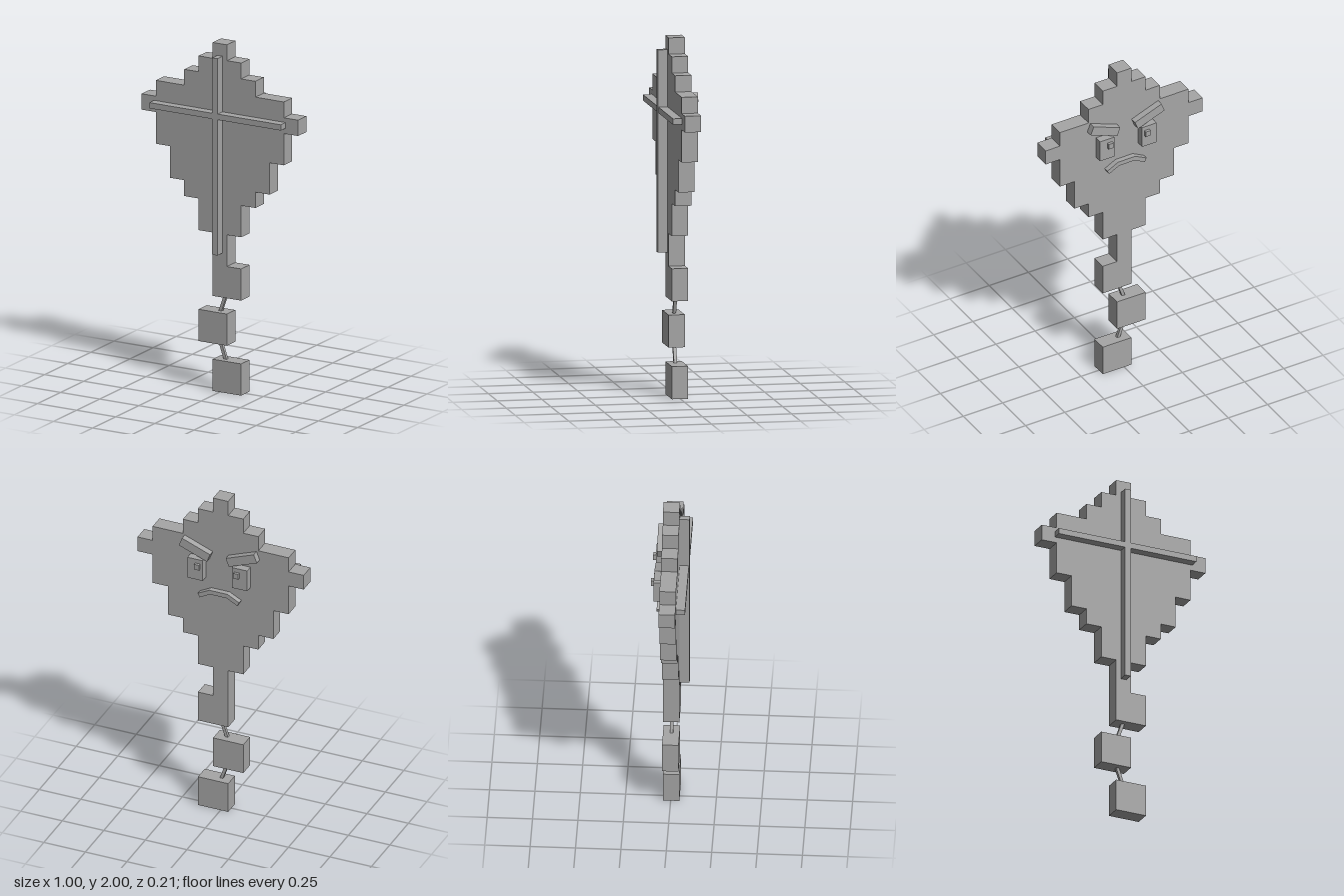
import * as THREE from 'three';

const U = 1 / 11;                 // side of one grid cell
const BACK = -0.043, FRONT = 0.048; // faces of the kite body

export function createModel() {
  const group = new THREE.Group();
  const grey = new THREE.MeshStandardMaterial({ color: 0xa6a6a6 });
  grey.name = 'plain grey';

  const add = (name, geometry) => {
    const mesh = new THREE.Mesh(geometry, grey);
    mesh.name = name;
    group.add(mesh);
    return mesh;
  };
  // Box given by its limits on each axis
  const box = (name, x0, x1, y0, y1, z0, z1) => {
    const mesh = add(name, new THREE.BoxGeometry(x1 - x0, y1 - y0, z1 - z0));
    mesh.position.set((x0 + x1) / 2, (y0 + y1) / 2, (z0 + z1) / 2);
    return mesh;
  };
  const extrude = (name, points, z0, z1) => {
    const shape = new THREE.Shape(points.map(([x, y]) => new THREE.Vector2(x, y)));
    const geometry = new THREE.ExtrudeGeometry(shape, { depth: z1 - z0, bevelEnabled: false });
    add(name, geometry.translate(0, 0, z0));
  };

  // Stepped sail with the first tail block: [half width, top row, bottom row] in cells
  const steps = [
    [0.5, 22, 21], [1.5, 21, 20], [2.5, 20, 19], [4.5, 19, 18], [5.5, 18, 17],
    [4.5, 17, 15], [3.5, 15, 13], [2.5, 13, 12], [1.5, 12, 10], [0.5, 10, 8],
  ];
  const right = [], left = [];
  for (const [w, top, bottom] of steps) {
    right.push([w * U, top * U], [w * U, bottom * U]);
    left.push([-w * U, top * U], [-w * U, bottom * U]);
  }
  right.push([1.5 * U, 8 * U], [1.5 * U, 6 * U]);
  left.push([-0.5 * U, 6 * U]);
  extrude('sail', [...left, ...right.reverse()], BACK, FRONT);

  // Loose tail blocks
  box('tailBlockUpper', -1.5 * U, 0.5 * U, 3 * U, 5 * U, BACK, FRONT);
  box('tailBlockLower', -0.5 * U, 1.5 * U, 0, 2 * U, BACK, FRONT);

  // Slanted strings joining the tail blocks
  for (const [name, y, tilt] of [['stringUpper', 5.5 * U, -0.33], ['stringLower', 2.5 * U, 0.33]]) {
    const string = box(name, -0.009, 0.009, 0, 0.108, -0.005, 0.013);
    string.position.set(-0.003, y, 0.004);
    string.rotation.z = tilt;
  }

  // Crossed spars
  box('spine', -0.017, 0.017, 0.8, 1.93, FRONT, 0.103);
  box('crossSpar', -0.42, 0.42, 1.578, 1.611, FRONT, 0.099);

  // Mirrored eyes, pupils and scowling brows
  for (const [side, s] of [['left', 1], ['right', -1]]) {
    const eye = box(side + 'Eye', -0.046, 0.046, 1.48, 1.61, -0.088, BACK);
    eye.position.x = s * 0.134;
    const pupil = box(side + 'Pupil', -0.015, 0.015, 1.552, 1.585, -0.104, -0.088);
    pupil.position.x = s * 0.118;
    const brow = box(side + 'Brow', -0.0905, 0.0905, 1.636, 1.689, -0.081, BACK);
    brow.position.x = s * 0.141;
    brow.rotation.z = s * 0.367;
  }

  // Downturned mouth
  extrude('mouth', [
    [-0.125, 1.383], [-0.113, 1.36], [-0.05, 1.394], [0.05, 1.394],
    [0.113, 1.36], [0.125, 1.383], [0.055, 1.42], [-0.055, 1.42],
  ], -0.073, BACK);

  return group;
}
